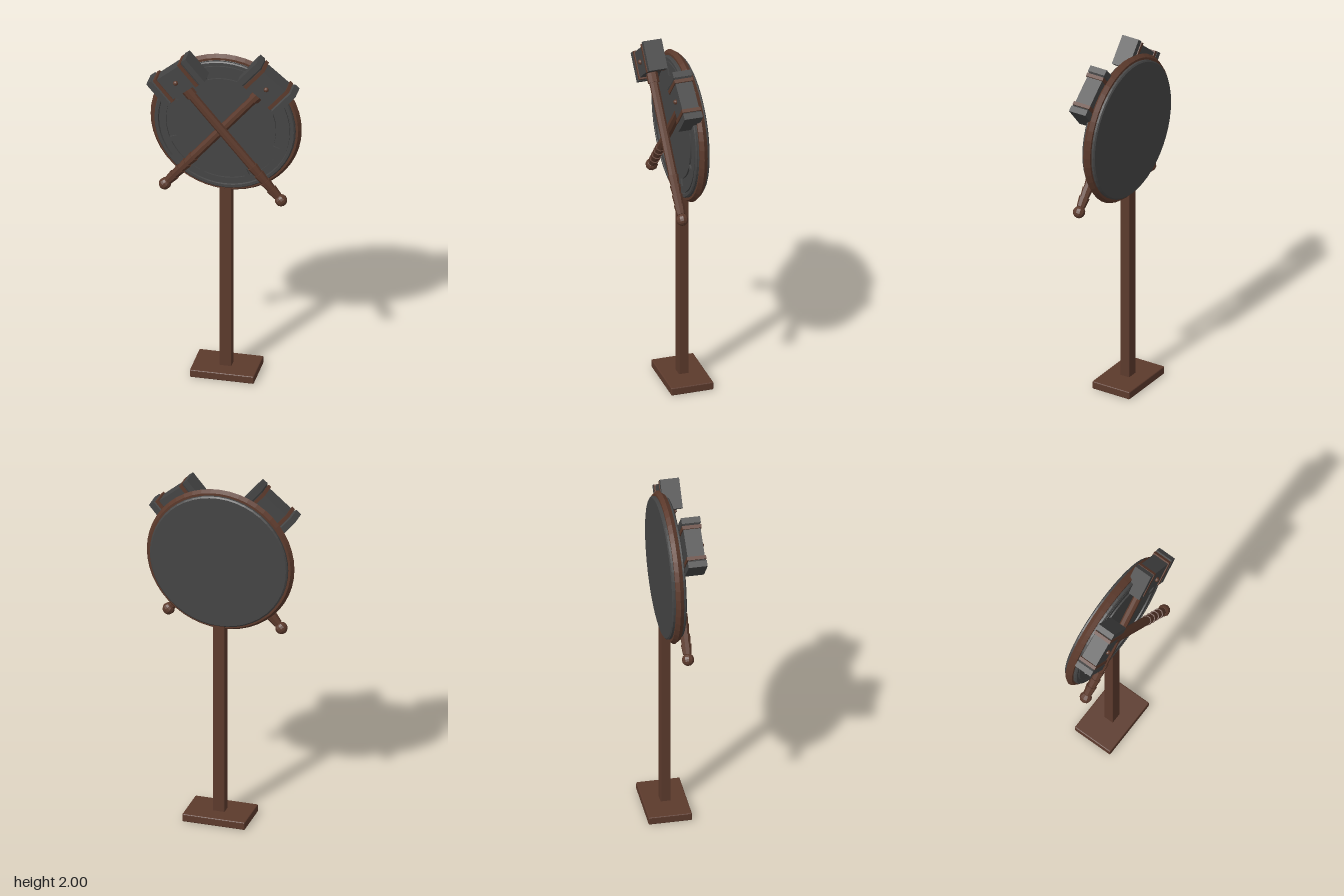
import * as THREE from 'three';
import { RoundedBoxGeometry } from 'three/addons/geometries/RoundedBoxGeometry.js';

const wood = new THREE.MeshStandardMaterial({ color: 0x5c3a2c, flatShading: true });
wood.name = 'brownWood';
const iron = new THREE.MeshStandardMaterial({ color: 0x454545, flatShading: true });
iron.name = 'darkIron';

function add(parent, name, geometry, material, x = 0, y = 0, z = 0) {
  const mesh = new THREE.Mesh(geometry, material);
  mesh.name = name;
  mesh.position.set(x, y, z);
  parent.add(mesh);
  return mesh;
}

// Lathe about the z axis; points are [radius, z] from back to front
function turned(points, segments) {
  const profile = points.map(([r, z]) => new THREE.Vector2(r, z));
  return new THREE.LatheGeometry(profile, segments).rotateX(Math.PI / 2);
}

function createShield() {
  const shield = new THREE.Group();
  shield.name = 'shield';
  add(shield, 'shieldRim', turned([
    [0.37, -0.042], [0.405, -0.042], [0.42, -0.02], [0.405, 0.002], [0.385, 0.002],
  ], 48), wood);
  add(shield, 'shieldBody', turned([
    [0, -0.06], [0.384, -0.06], [0.392, -0.054], [0.392, 0.004], [0.385, 0.011], [0, 0.011],
  ], 48), iron);

  // Raised face with eight curved slots
  const face = new THREE.Shape().absarc(0, 0, 0.362, 0, Math.PI * 2);
  for (let i = 0; i < 8; i++) {
    const mid = i * Math.PI / 4;
    const slot = new THREE.Path();
    slot.absarc(0, 0, 0.325, mid - 0.35, mid + 0.35, false);
    slot.absarc(0, 0, 0.285, mid + 0.35, mid - 0.35, true);
    slot.closePath();
    face.holes.push(slot);
  }
  add(shield, 'shieldFace', new THREE.ExtrudeGeometry(face,
    { depth: 0.011, bevelEnabled: false, curveSegments: 24 }), iron, 0, 0, 0.009);

  // Border lip around the face
  add(shield, 'shieldLip', turned([
    [0.391, 0.004], [0.391, 0.014], [0.385, 0.02], [0.37, 0.02], [0.366, 0.01],
  ], 48), iron);
  return shield;
}

function createHammer(name, side, z) {
  const hammer = new THREE.Group();
  hammer.name = name;

  // Head: slim core, tapered shoulders, heavy end blocks and bands
  add(hammer, 'headCore', new THREE.BoxGeometry(0.2, 0.142, 0.095), iron);
  for (const s of [-1, 1]) {
    add(hammer, 'headEnd', new THREE.BoxGeometry(0.034, 0.167, 0.105), iron, s * 0.125, 0, 0);
    const shoulder = new THREE.CylinderGeometry(Math.SQRT1_2, Math.SQRT1_2 * 0.86, 0.012, 4)
      .rotateY(Math.PI / 4).rotateZ(-s * Math.PI / 2).scale(1, 0.167, 0.105);
    add(hammer, 'headShoulder', shoulder, iron, s * 0.103, 0, 0);
    add(hammer, 'headBand', new THREE.BoxGeometry(0.02, 0.16, 0.106), wood, s * 0.088, 0, 0);
  }
  add(hammer, 'headStud', new THREE.SphereGeometry(0.014, 10, 8), wood, 0, 0, 0.051);

  // Handle, collar and stepped grip
  const rod = (label, top, bottom, rTop, rBottom) => add(hammer, label,
    new THREE.CylinderGeometry(rTop, rBottom, top - bottom, 8).rotateY(Math.PI / 8),
    wood, 0, (top + bottom) / 2, 0);
  rod('handleCollar', -0.07, -0.125, 0.032, 0.032);
  rod('handle', -0.12, -0.65, 0.025, 0.025);
  for (let i = 0; i < 4; i++) {
    const top = -0.645 - i * 0.055;
    rod('grip', top, top - 0.055, 0.03, 0.024);
  }
  add(hammer, 'pommel', new THREE.SphereGeometry(0.034, 10, 8), wood, 0, -0.894, 0);

  hammer.position.set(side * 0.2475, 1.845, z);
  hammer.rotation.z = -side * THREE.MathUtils.degToRad(40);
  return hammer;
}

export function createModel() {
  const model = new THREE.Group();
  model.name = 'shieldAndHammersOnStand';

  // Stand
  add(model, 'base', new RoundedBoxGeometry(0.356, 0.045, 0.24, 2, 0.006), wood, 0, 0.0225, -0.03);
  add(model, 'post', new RoundedBoxGeometry(0.066, 1.14, 0.056, 2, 0.004), wood, 0, 0.605, -0.028);

  const shield = createShield();
  shield.position.y = 1.555;
  model.add(shield);

  // Crossed hammers, one resting over the other
  model.add(createHammer('rightHammer', -1, 0.078));
  model.add(createHammer('leftHammer', 1, 0.038));
  return model;
}
